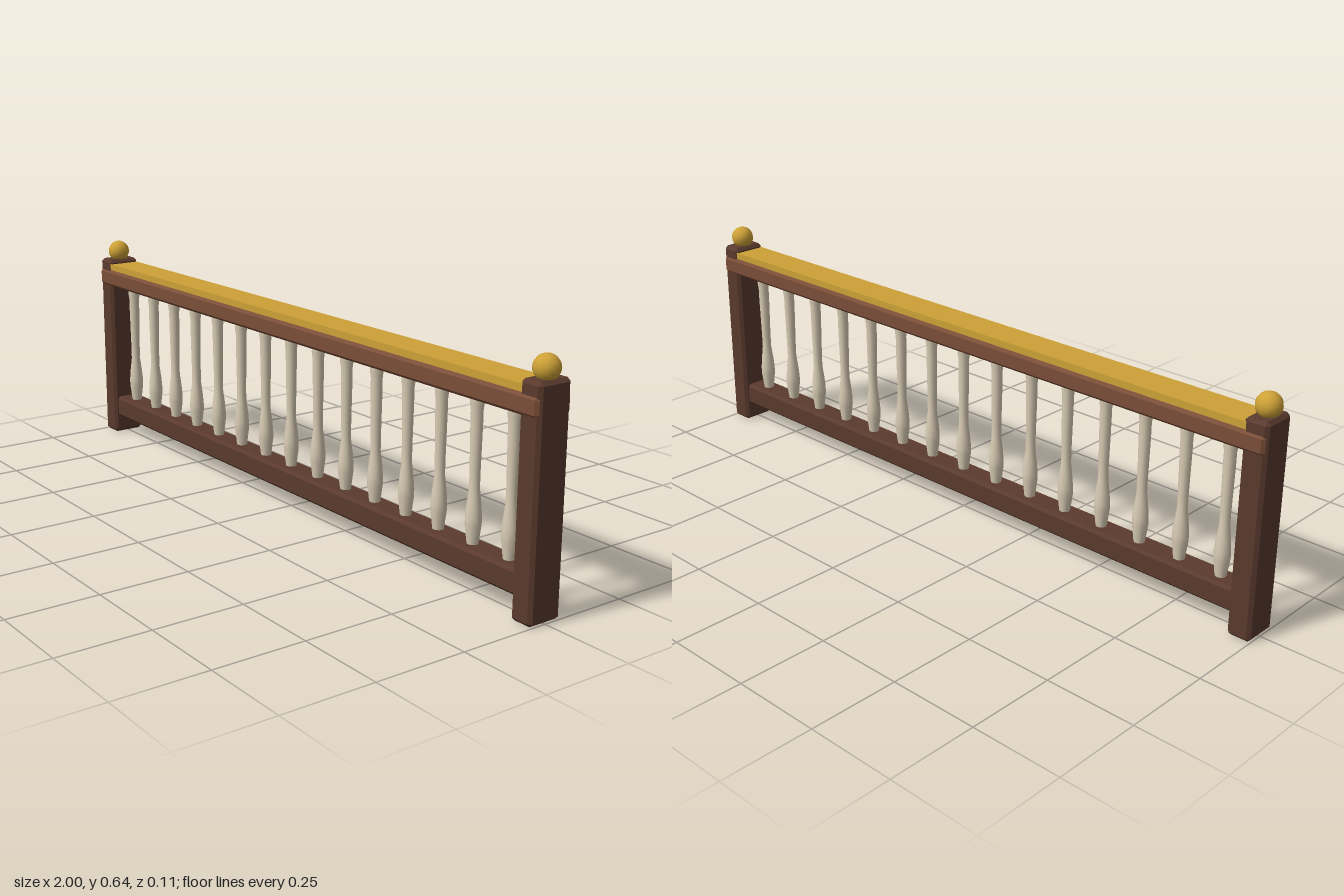
import * as THREE from 'three';
import { ConvexGeometry } from 'three/addons/geometries/ConvexGeometry.js';

const material = (color, flatShading = false) => new THREE.MeshStandardMaterial({ color, flatShading });

// Box with every edge cut by a chamfer c
function chamferBox(w, h, d, c) {
  const points = [];
  const [x, y, z] = [w / 2, h / 2, d / 2];
  for (const sx of [-1, 1]) for (const sy of [-1, 1]) for (const sz of [-1, 1]) {
    points.push(
      new THREE.Vector3(sx * x, sy * (y - c), sz * (z - c)),
      new THREE.Vector3(sx * (x - c), sy * y, sz * (z - c)),
      new THREE.Vector3(sx * (x - c), sy * (y - c), sz * z)
    );
  }
  return new ConvexGeometry(points);
}

export function createModel() {
  const model = new THREE.Group();
  model.name = 'balustrade';
  const darkWood = material(0x5a3a2e, true);
  const railWood = material(0x7a4e38, true);
  const brass = material(0xcda136);
  const ivory = material(0xd8ccb4);

  function add(name, geometry, mat, x, y, z = 0) {
    const mesh = new THREE.Mesh(geometry, mat);
    mesh.name = name;
    mesh.position.set(x, y, z);
    model.add(mesh);
  }

  // End posts with ball finials
  const post = chamferBox(0.066, 0.58, 0.1, 0.009);
  const ball = new THREE.SphereGeometry(0.033, 16, 12);
  for (const [side, s] of [['left', 1], ['right', -1]]) {
    add(side + 'Post', post, darkWood, s * 0.967, 0.29);
    add(side + 'Finial', ball, brass, s * 0.967, 0.603);
  }

  // Rails and the brass strip on top of the handrail
  add('bottomRail', chamferBox(1.9, 0.066, 0.076, 0.008), darkWood, 0, 0.088);
  add('handrail', chamferBox(1.992, 0.052, 0.11, 0.008), railWood, 0, 0.522);
  add('brassStrip', new THREE.BoxGeometry(1.88, 0.024, 0.094), brass, 0, 0.555);

  // Turned balusters
  const profile = [
    [0.014, 0.115], [0.016, 0.13], [0.021, 0.17], [0.021, 0.19], [0.0185, 0.22],
    [0.0135, 0.26], [0.0135, 0.3], [0.0155, 0.42], [0.0155, 0.455],
    [0.018, 0.475], [0.018, 0.49], [0.015, 0.505]
  ].map(([r, y]) => new THREE.Vector2(r, y));
  const baluster = new THREE.LatheGeometry(profile, 12);
  const count = 15;
  for (let i = 0; i < count; i++) {
    add('baluster' + (i + 1), baluster, ivory, (i - (count - 1) / 2) * 0.125, 0);
  }
  return model;
}
